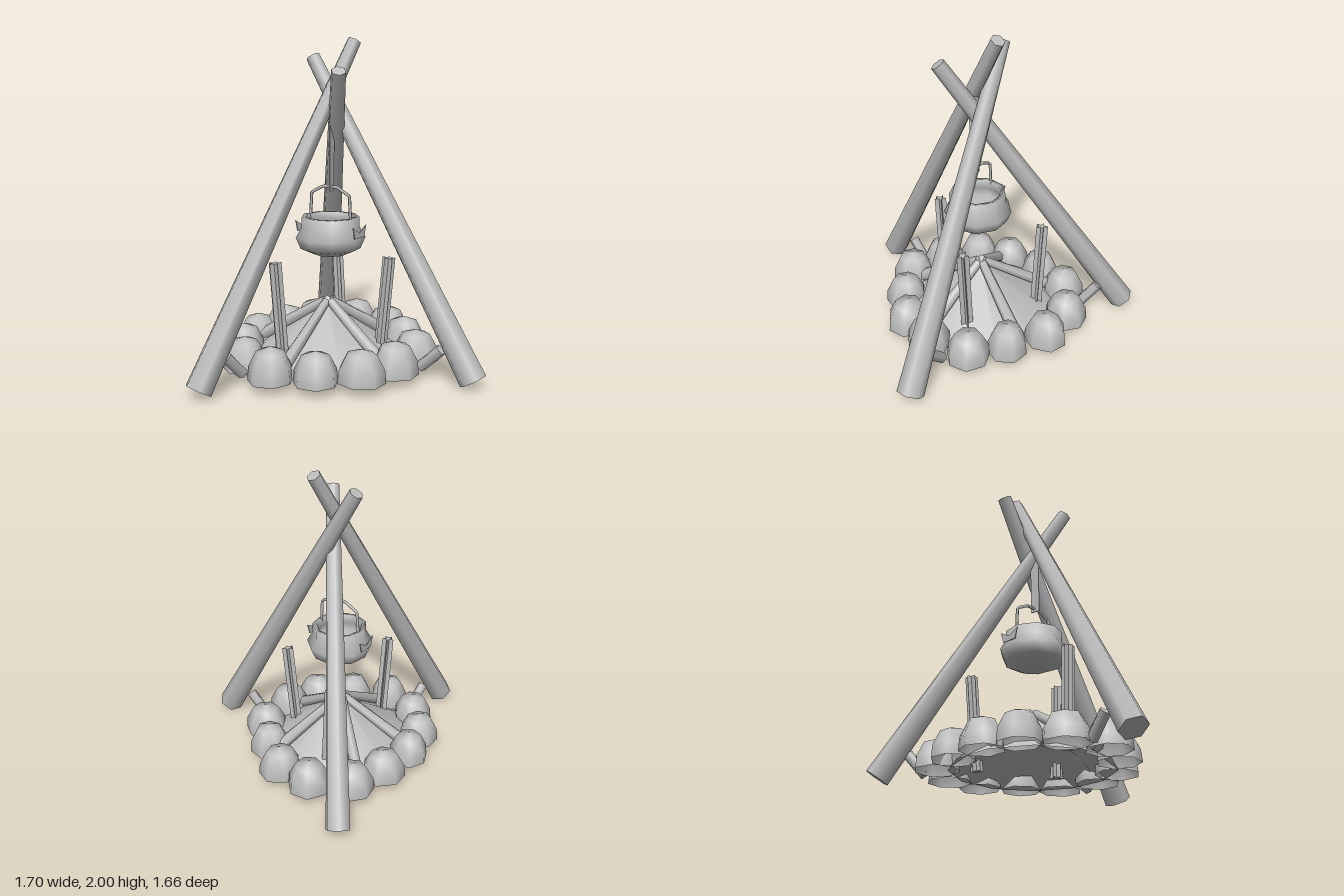
import * as THREE from 'three';

const V = (x, y, z) => new THREE.Vector3(x, y, z);

export function createModel() {
  const model = new THREE.Group();
  const grey = new THREE.MeshStandardMaterial({ color: 0xbcbcbc, side: THREE.DoubleSide });
  grey.name = 'plainGrey';

  let seed = 7;
  const rand = () => (seed = (seed * 16807) % 2147483647) / 2147483647;

  function add(geometry, name, parent = model) {
    const mesh = new THREE.Mesh(geometry, grey);
    mesh.name = name;
    parent.add(mesh);
    return mesh;
  }

  // Aligns a y-up mesh so that it runs from point a to point b
  function span(mesh, a, b) {
    mesh.position.copy(a).lerp(b, 0.5);
    mesh.quaternion.setFromUnitVectors(V(0, 1, 0), b.clone().sub(a).normalize());
    return mesh;
  }
  const log = (name, a, b, rBottom, rTop, sides = 6) =>
    span(add(new THREE.CylinderGeometry(rTop, rBottom, a.distanceTo(b), sides), name), a, b);

  // Tripod poles
  log('tripodPoleRight', V(-0.78, 0.042, 0.65), V(0.2, 1.972, 0.08), 0.085, 0.045);
  log('tripodPoleLeft', V(0.78, 0.042, 0.74), V(-0.04, 1.88, 0), 0.085, 0.045);
  log('tripodPoleBack', V(0.18, 0.045, -0.77), V(0.05, 1.8, 0.4), 0.08, 0.045);

  // Short stakes leaning outwards under the poles
  log('stakeRight', V(-0.52, 0.06, 0.46), V(-0.62, 0.19, 0.53), 0.035, 0.035, 5);
  log('stakeLeft', V(0.53, 0.06, 0.51), V(0.63, 0.19, 0.6), 0.035, 0.035, 5);
  log('stakeBack', V(0.17, 0.06, -0.48), V(0.19, 0.19, -0.59), 0.035, 0.035, 5);

  // Upright posts with a star cross-section
  const star = new THREE.Shape();
  for (let i = 0; i < 10; i++) {
    const r = i % 2 ? 0.016 : 0.04, a = (i * Math.PI) / 5;
    star[i ? 'lineTo' : 'moveTo'](r * Math.cos(a), r * Math.sin(a));
  }
  star.closePath();
  [
    [V(-0.275, 0.08, 0.355), V(-0.32, 0.69, 0.37)],
    [V(0.325, 0.08, 0.315), V(0.37, 0.69, 0.34)],
    [V(0.17, 0.08, -0.17), V(0.145, 0.68, -0.21)],
  ].forEach(([a, b], i) => {
    const length = a.distanceTo(b);
    const geometry = new THREE.ExtrudeGeometry(star, { depth: length, bevelEnabled: false });
    geometry.translate(0, 0, -length / 2).rotateX(-Math.PI / 2);
    span(add(geometry, 'uprightPost' + (i + 1)), a, b);
  });

  // Ring of domed stones
  const stones = [
    [-0.18, -0.29], [0.04, -0.4], [0.31, -0.34], [0.48, -0.16], [0.53, 0.1], [0.54, 0.35], [0.36, 0.57],
    [0.14, 0.67], [-0.12, 0.65], [-0.37, 0.57], [-0.5, 0.33], [-0.49, 0.08], [-0.38, -0.12],
  ];
  const ring = new THREE.Group();
  ring.name = 'stoneRing';
  model.add(ring);
  const dome = [[0.137, 0], [0.13, 0.08], [0.085, 0.17], [0, 0.2]].map(([r, y]) => new THREE.Vector2(r, y));
  stones.forEach(([x, z]) => {
    const stone = add(new THREE.LatheGeometry(dome, 7), 'stone', ring);
    stone.position.set(x, 0.05, z);
    stone.rotation.y = rand() * Math.PI * 2;
    stone.scale.set(0.93 + rand() * 0.14, 0.94 + rand() * 0.08, 0.93 + rand() * 0.14);
  });

  // Ember mound with firewood leaning on it
  const mound = add(new THREE.ConeGeometry(0.5, 0.33, 12, 1, true), 'emberMound');
  mound.position.set(0.03, 0.215, 0.165);
  [-152, -94, -17, 56, 132].forEach((deg, i) => {
    const a = THREE.MathUtils.degToRad(deg), c = Math.cos(a), s = Math.sin(a);
    log('firewood' + (i + 1), V(0.03 + c * 0.48, 0.1, 0.165 + s * 0.48),
      V(0.03 + c * 0.02, 0.39, 0.165 + s * 0.02), 0.042, 0.028);
  });

  // Cooking pot, turned so that its local x axis runs through both ears
  const pot = new THREE.Group();
  pot.name = 'cookingPot';
  pot.position.set(0.04, 0, 0.18);
  pot.rotation.y = -Math.PI / 4;
  model.add(pot);
  const profile = [
    [0, 0.687], [0.1, 0.692], [0.185, 0.73], [0.215, 0.8], [0.178, 0.865], [0.178, 0.925],
    [0.15, 0.925], [0.15, 0.87], [0.18, 0.8], [0.1, 0.72], [0, 0.715],
  ].map(([r, y]) => new THREE.Vector2(r, y));
  add(new THREE.LatheGeometry(profile, 9), 'potBody', pot);

  // Carrying handle
  const bail = [V(-0.15, 0.9, 0), V(-0.14, 1.06, 0), V(-0.05, 1.105, 0), V(0.05, 1.105, 0), V(0.14, 1.06, 0), V(0.15, 0.9, 0)];
  const path = new THREE.CurvePath();
  for (let i = 1; i < bail.length; i++) path.add(new THREE.LineCurve3(bail[i - 1], bail[i]));
  add(new THREE.TubeGeometry(path, 40, 0.01, 5), 'potHandle', pot);

  // Notched ears on both sides of the pot
  const ear = new THREE.Shape([[-0.05, 0], [0.05, 0], [0.07, 0.07], [0, 0.03], [-0.07, 0.07]]
    .map(([x, y]) => new THREE.Vector2(x, y)));
  [1, -1].forEach((side) => {
    const mesh = add(new THREE.ExtrudeGeometry(ear, { depth: 0.006, bevelEnabled: false }), 'potEar', pot);
    mesh.position.set(side * 0.21, 0.815, 0);
    mesh.rotation.y = (side * Math.PI) / 2;
  });

  // Flat hanging strap between the poles and the handle
  const strap = add(new THREE.BoxGeometry(0.06, 0.5, 0.006), 'hangingStrap');
  strap.position.set(0.045, 1.33, 0.195);
  strap.rotation.y = 0.96;

  return model;
}
